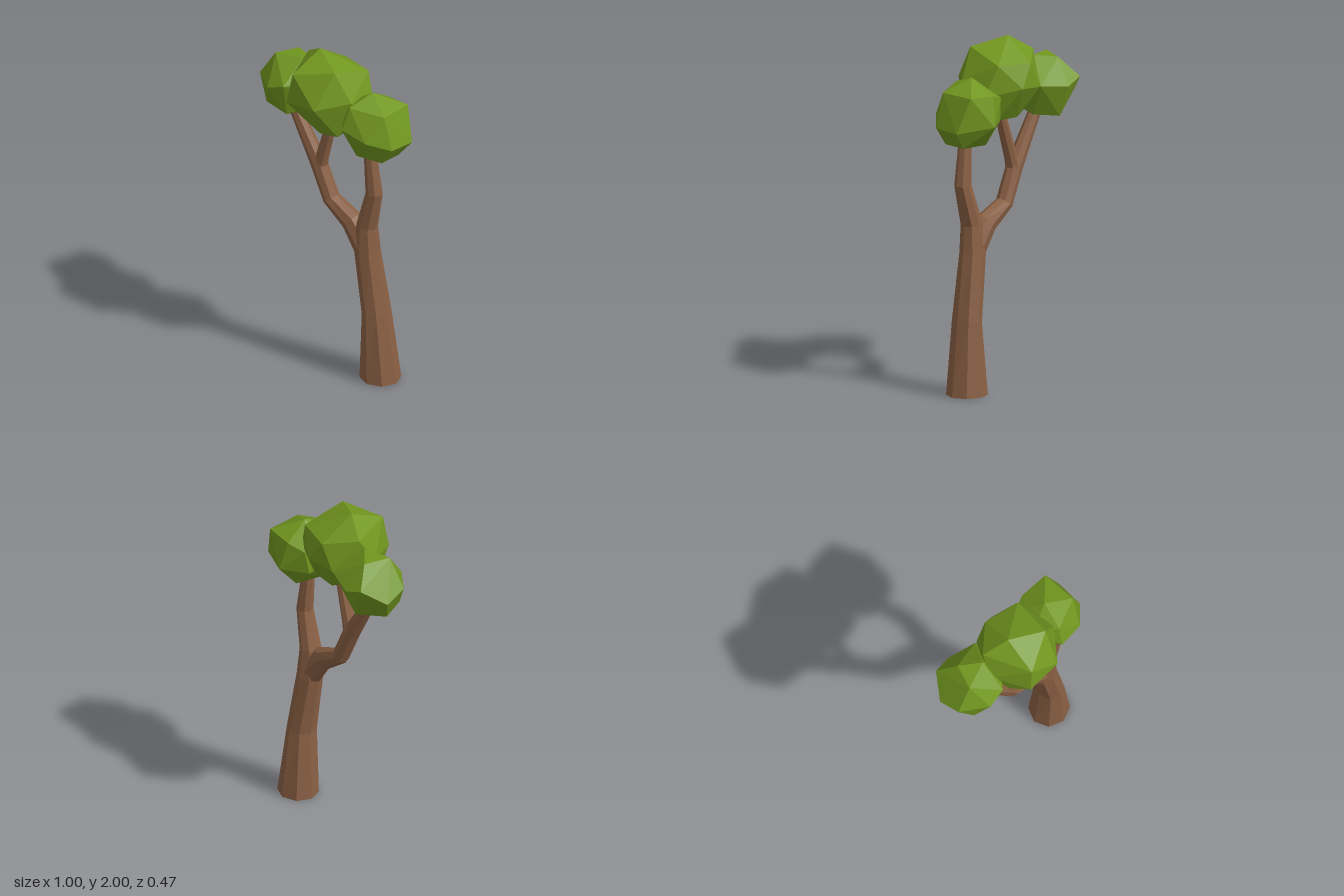
import * as THREE from 'three';
import { ConvexGeometry } from 'three/addons/geometries/ConvexGeometry.js';

const SIDES = 8;

// Faceted limb through stations [x, y, z, radiusX, radiusZ]; rings lean with the path in the xy plane.
function limbGeometry(stations, flatStart) {
  const pos = [], index = [], last = stations.length - 1;
  stations.forEach(([x, y, z, rx, rz], i) => {
    const a = stations[Math.max(i - 1, 0)], b = stations[Math.min(i + 1, last)];
    const t = new THREE.Vector2(b[0] - a[0], b[1] - a[1]).normalize();
    if (i === 0 && flatStart) t.set(0, 1);
    for (let j = 0; j < SIDES; j++) {
      const ang = (j / SIDES) * Math.PI * 2;
      const u = Math.cos(ang) * rx;
      pos.push(x + t.y * u, y - t.x * u, z + Math.sin(ang) * rz);
    }
  });
  for (let i = 0; i < last; i++) {
    for (let j = 0; j < SIDES; j++) {
      const k = (j + 1) % SIDES;
      const a = i * SIDES + j, b = i * SIDES + k;
      index.push(a, a + SIDES, b, b, a + SIDES, b + SIDES);
    }
  }
  // End caps
  const top = last * SIDES;
  for (let j = 1; j < SIDES - 1; j++) index.push(0, j, j + 1, top, top + j + 1, top + j);
  const g = new THREE.BufferGeometry();
  g.setAttribute('position', new THREE.Float32BufferAttribute(pos, 3));
  g.setIndex(index);
  const flat = g.toNonIndexed();
  flat.computeVertexNormals();
  return flat;
}

export function createModel() {
  const tree = new THREE.Group();
  tree.name = 'tree';
  const bark = new THREE.MeshStandardMaterial({ color: 0x8a6044, flatShading: true });
  const leaf = new THREE.MeshStandardMaterial({ color: 0x71961f, flatShading: true });

  const add = (name, geometry, material) => {
    const mesh = new THREE.Mesh(geometry, material);
    mesh.name = name;
    tree.add(mesh);
  };

  // Trunk, continuing into the left upright branch
  add('trunk', limbGeometry([
    [0.335, 0, -0.065, 0.12, 0.115],
    [0.32, 0.42, -0.05, 0.077, 0.092],
    [0.262, 0.8, -0.038, 0.077, 0.073],
    [0.265, 0.97, -0.032, 0.06, 0.063],
    [0.325, 1.2, -0.023, 0.05, 0.047],
    [0.295, 1.52, -0.015, 0.033, 0.033],
  ], true), bark);

  // Bent branch reaching out to the right
  add('rightBranch', limbGeometry([
    [0.255, 0.82, -0.036, 0.08, 0.065],
    [0.15, 0.955, -0.032, 0.068, 0.058],
    [0.0, 1.045, -0.028, 0.05, 0.05],
    [-0.09, 1.245, -0.022, 0.053, 0.045],
    [-0.285, 1.58, -0.015, 0.034, 0.033],
  ]), bark);

  // Short branch forking up to the middle crown
  add('middleBranch', limbGeometry([
    [-0.085, 1.2, -0.024, 0.045, 0.042],
    [-0.06, 1.3, -0.021, 0.038, 0.038],
    [0.025, 1.58, -0.015, 0.029, 0.031],
  ]), bark);

  // Faceted foliage clumps, each the hull of a few corner points
  const crowns = {
    middleFoliage: [
      [-0.06, 2, 0], [0.14, 1.95, 0.1], [0.17, 1.88, -0.15], [-0.08, 1.91, 0.21], [-0.2, 1.91, -0.06],
      [-0.11, 1.73, 0.23], [0.1, 1.75, 0.235], [0.235, 1.78, 0.07], [0.245, 1.7, -0.11], [0.25, 1.7, 0.03],
      [-0.23, 1.77, 0.03], [-0.17, 1.64, -0.1], [-0.165, 1.64, 0.12], [0.01, 1.51, 0.08], [0.16, 1.55, 0.1],
      [0.14, 1.55, -0.1], [-0.02, 1.55, -0.11], [0.05, 1.74, -0.225], [-0.04, 1.87, -0.2], [-0.12, 1.72, -0.19],
    ],
    rightFoliage: [
      [-0.38, 1.86, 0.015], [-0.22, 1.865, -0.04], [-0.33, 1.85, -0.13], [-0.485, 1.7, 0.03], [-0.5, 1.65, -0.1],
      [-0.41, 1.74, -0.222], [-0.3, 1.7, -0.24], [-0.13, 1.72, -0.19], [-0.42, 1.51, -0.04], [-0.3, 1.52, -0.17],
      [-0.16, 1.54, -0.1], [-0.105, 1.6, -0.04], [-0.225, 1.74, 0.125], [-0.335, 1.7, 0.135], [-0.4, 1.56, 0.07],
      [-0.24, 1.54, 0.08], [-0.1, 1.75, -0.03],
    ],
    leftFoliage: [
      [0.286, 1.82, -0.053], [0.44, 1.745, 0.02], [0.43, 1.74, -0.19], [0.5, 1.54, -0.147], [0.495, 1.55, 0.02],
      [0.42, 1.44, -0.12], [0.42, 1.445, 0.02], [0.24, 1.43, 0.03], [0.26, 1.44, -0.14], [0.145, 1.56, -0.14],
      [0.15, 1.56, 0.03], [0.29, 1.56, -0.24], [0.26, 1.73, -0.2], [0.16, 1.7, -0.16], [0.23, 1.64, 0.145],
      [0.39, 1.6, 0.125], [0.25, 1.77, 0.1], [0.14, 1.73, 0],
    ],
  };
  for (const [name, points] of Object.entries(crowns)) {
    add(name, new ConvexGeometry(points.map((p) => new THREE.Vector3(...p))), leaf);
  }
  return tree;
}
